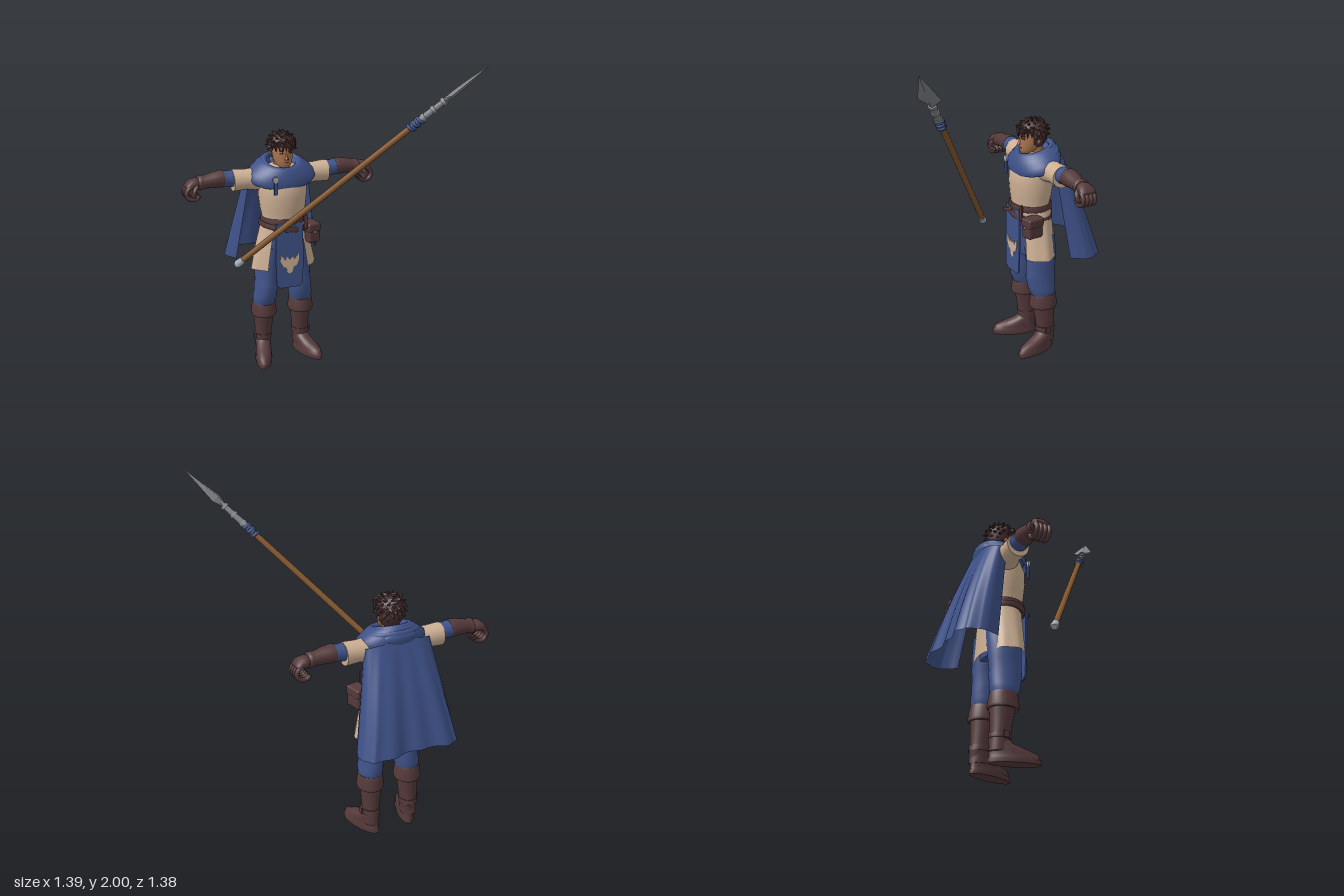
import * as THREE from 'three';
import { mergeGeometries } from 'three/addons/utils/BufferGeometryUtils.js';
import { RoundedBoxGeometry } from 'three/addons/geometries/RoundedBoxGeometry.js';

const V = (x, y, z) => new THREE.Vector3(x, y, z);
const mat = (name, color, side = THREE.FrontSide) => {
  const m = new THREE.MeshStandardMaterial({ color, side });
  m.name = name;
  return m;
};

// Elliptical ring around the y axis; tx and tz tilt it. Angles start at the front.
function ringY(y, cx, cz, rx, rz, tx = 0, tz = 0, n = 28, gap = 0) {
  const out = [];
  const count = gap ? n + 1 : n;
  for (let i = 0; i < count; i++) {
    const a = gap + (i / n) * (Math.PI * 2 - gap * 2);
    const dx = rx * Math.sin(a), dz = rz * Math.cos(a);
    out.push(V(cx + dx, y + tx * dx + tz * dz, cz + dz));
  }
  return out;
}
// Ring around the x axis
function ringX(x, y, z, ry, rz, n = 20) {
  return Array.from({ length: n }, (_, i) => {
    const a = (i / n) * Math.PI * 2;
    return V(x, y + ry * Math.cos(a), z + rz * Math.sin(a));
  });
}
// Skin over a list of rings, with flat end caps when closed
function loft(rings, closed = true, caps = closed) {
  const n = rings[0].length, pos = [], idx = [];
  rings.forEach(r => r.forEach(p => pos.push(p.x, p.y, p.z)));
  const cols = closed ? n : n - 1;
  for (let i = 0; i < rings.length - 1; i++) for (let j = 0; j < cols; j++) {
    const a = i * n + j, b = i * n + (j + 1) % n;
    idx.push(a, b, b + n, a, b + n, a + n);
  }
  if (caps) [rings[0], rings[rings.length - 1]].forEach((r, e) => {
    const s = pos.length / 3, c = V(0, 0, 0);
    r.forEach(p => { c.addScaledVector(p, 1 / n); pos.push(p.x, p.y, p.z); });
    pos.push(c.x, c.y, c.z);
    for (let j = 0; j < n; j++) {
      const a = s + j, b = s + (j + 1) % n;
      e ? idx.push(a, b, s + n) : idx.push(b, a, s + n);
    }
  });
  const g = new THREE.BufferGeometry();
  g.setAttribute('position', new THREE.Float32BufferAttribute(pos, 3));
  g.setIndex(idx);
  g.computeVertexNormals();
  return g;
}
const loftY = rows => loft(rows.map(r => ringY(...r)));
const loftX = rows => loft(rows.map(r => ringX(...r)));
function flat(g) { const f = g.toNonIndexed(); f.computeVertexNormals(); return f; }
function mirror(g) {
  const m = g.clone().applyMatrix4(new THREE.Matrix4().makeScale(-1, 1, 1)), a = m.index.array;
  for (let i = 0; i < a.length; i += 3) [a[i], a[i + 1]] = [a[i + 1], a[i]];
  return m;
}

export function createModel() {
  const blue = mat('blueCloth', 0x40538a), blueOpen = mat('blueCape', 0x3e5188, THREE.DoubleSide);
  const cream = mat('creamCloth', 0xcdb094, THREE.DoubleSide), leather = mat('brownLeather', 0x55393a);
  const hairM = mat('darkHair', 0x462d2e), skin = mat('skin', 0xa9754f), wood = mat('wood', 0x87592f);
  const steel = mat('steel', 0x808388), pale = mat('paleMetal', 0xa3adb8);

  const model = new THREE.Group(), body = new THREE.Group(), spear = new THREE.Group();
  body.name = 'figure'; spear.name = 'spear';
  body.position.x = -0.09;
  model.add(body, spear);
  const add = (name, g, m, parent = body) => {
    const mesh = new THREE.Mesh(g, m);
    mesh.name = name;
    parent.add(mesh);
    return mesh;
  };
  const pair = (name, g, m) => { add(name + 'Left', g, m); add(name + 'Right', mirror(g), m); };

  // Legs and boots
  pair('trouserLeg', loftY([[0.35, .122, -.372, .06, .066], [.39, .12, -.368, .07, .078], [.425, .117, -.362, .073, .088],
    [.45, .113, -.36, .069, .088], [.49, .11, -.356, .074, .094], [.52, .107, -.356, .069, .092],
    [.58, .104, -.36, .072, .094], [.66, .095, -.36, .078, .098], [.76, .08, -.36, .075, .1]]), blue);
  pair('bootShaft', loftY([[.06, .125, -.392, .047, .056], [.12, .125, -.39, .049, .055], [.2, .123, -.384, .054, .058],
    [.31, .122, -.376, .064, .072]]), leather);
  pair('bootCuff', loftY([[.295, .122, -.372, .076, .084], [.31, .122, -.372, .08, .088], [.37, .122, -.372, .072, .08],
    [.385, .122, -.372, .068, .074]]), leather);
  pair('bootStrap', loftY([[.13, .125, -.39, .055, .061], [.16, .125, -.388, .055, .061]]), leather);
  pair('bootBuckle', new THREE.BoxGeometry(.014, .036, .03).translate(.182, .145, -.38), leather);
  const foot = loftY([[0, 0, .085, .05, .14], [.025, 0, .085, .054, .142], [.028, 0, .085, .049, .136],
    [.055, 0, .08, .05, .13], [.08, 0, .05, .047, .098], [.105, 0, .015, .046, .066], [.13, 0, 0, .045, .055]]);
  pair('bootFoot', foot.rotateY(.3).translate(.122, 0, -.395), leather);

  // Hips, tunic and split skirt
  add('hips', loftY([[.62, 0, -.355, .13, .085], [.7, 0, -.35, .15, .098], [.9, 0, -.34, .128, .105]]), blue);
  add('tunic', loftY([[.885, 0, -.338, .135, .112], [.94, 0, -.336, .129, .11], [1.0, 0, -.338, .14, .122],
    [1.08, 0, -.34, .149, .131], [1.15, 0, -.343, .15, .13], [1.21, 0, -.355, .145, .112],
    [1.25, 0, -.36, .11, .085], [1.27, 0, -.36, .06, .06]]), cream);
  const skirtRows = [[.625, .208, .122], [.72, .187, .12], [.82, .16, .118], [.92, .133, .113]];
  const skirt = skirtRows.map(([y, rx, rz]) => ringY(y, 0, -.345, rx, rz, 0, 0, 48, .66));
  skirt.forEach((r, i) => r.forEach((p, j) => {
    const k = 1 + .025 * (1 - i / 3) * Math.sin(j * .8);
    p.x *= k; p.z = -.345 + (p.z + .345) * k;
  }));
  add('tunicSkirt', loft(skirt, false), cream);

  // Front cloth with a pale patch
  const plate = pts => new THREE.ExtrudeGeometry(new THREE.Shape(pts.map(p => new THREE.Vector2(...p))),
    { depth: .008, bevelEnabled: false });
  add('frontCloth', plate([[-.085, .93], [-.09, .7], [-.084, .53], [-.06, .512], [.06, .512], [.084, .53],
    [.09, .7], [.085, .93]]).translate(0, 0, -.226), blue);
  const half = [[0, .695], [.018, .715], [.03, .695], [.058, .73], [.06, .69], [.045, .655], [.022, .645], [.02, .62], [0, .602]];
  const patch = half.concat(half.slice(1, -1).reverse().map(([x, y]) => [-x, y])).reverse();
  add('clothPatch', plate(patch).translate(0, 0, -.2235), cream);

  // Belts, buckle and pouch
  const belt = (y, h, rx, rz, tx) => loftY([[y - h, 0, -.337, rx - .006, rz - .006, tx], [y - h + .004, 0, -.337, rx, rz, tx],
    [y + h - .004, 0, -.337, rx, rz, tx], [y + h, 0, -.337, rx - .006, rz - .006, tx]]);
  add('upperBelt', belt(.935, .019, .139, .128, 0), leather);
  add('lowerBelt', belt(.89, .017, .15, .131, -.16), leather);
  add('beltBuckle', new THREE.TorusGeometry(.02, .005, 6, 4).rotateZ(Math.PI / 4).translate(-.01, .935, -.207), steel);
  add('beltTail', new THREE.BoxGeometry(.1, .02, .008).rotateZ(.3).translate(-.05, .9, -.21), leather);
  add('pouch', new RoundedBoxGeometry(.078, .11, .105, 3, .015).rotateY(.2).translate(.155, .835, -.272), leather);
  add('pouchFlap', new RoundedBoxGeometry(.086, .055, .113, 3, .012).rotateY(.2).translate(.155, .878, -.272), leather);
  add('pouchLoop', new THREE.BoxGeometry(.022, .09, .012).translate(.105, .925, -.222), leather);
  add('pouchStud', new THREE.SphereGeometry(.008, 10, 8).translate(.166, .852, -.213), steel);

  // Arms
  pair('tunicSleeve', loftX([[.08, 1.175, -.375, .07, .085], [.15, 1.182, -.38, .069, .073], [.22, 1.186, -.384, .062, .064],
    [.29, 1.186, -.385, .067, .067], [.302, 1.186, -.385, .066, .066]]), cream);
  pair('underSleeve', loftX([[.28, 1.2, -.385, .048, .05], [.315, 1.2, -.385, .051, .053], [.335, 1.202, -.385, .046, .049],
    [.35, 1.203, -.385, .05, .053], [.38, 1.205, -.385, .046, .05]]), blue);
  pair('bracer', loftX([[.358, 1.206, -.385, .049, .053], [.37, 1.206, -.385, .053, .056], [.42, 1.204, -.385, .048, .051],
    [.48, 1.197, -.385, .04, .042], [.493, 1.195, -.385, .045, .048], [.51, 1.193, -.385, .045, .048],
    [.515, 1.192, -.385, .036, .042]]), leather);
  pair('glovePalm', loftX([[.505, 1.192, -.385, .033, .037], [.53, 1.192, -.387, .036, .045], [.56, 1.19, -.387, .032, .05],
    [.58, 1.182, -.387, .024, .047], [.59, 1.176, -.387, .012, .04]]), leather);
  const tube = (pts, r) => new THREE.TubeGeometry(new THREE.CatmullRomCurve3(pts.map(p => V(...p))), 16, r, 8);
  for (let i = 0; i < 4; i++) {
    const z = -.423 + i * .0245;
    pair('finger' + (i + 1), tube([[.555, 1.187, z], [.582, 1.168, z], [.592, 1.14, z], [.577, 1.113, z],
      [.55, 1.104, z], [.526, 1.113, z], [.516, 1.13, z]], .0135), leather);
  }
  pair('thumb', tube([[.525, 1.185, -.35], [.545, 1.16, -.335], [.55, 1.135, -.34], [.54, 1.12, -.35]], .014), leather);

  // Head and face
  add('neck', loftY([[1.2, 0, -.365, .05, .05], [1.32, 0, -.36, .046, .048]]), skin);
  add('head', loftY([[1.258, 0, -.3, .02, .02], [1.264, 0, -.303, .033, .034], [1.285, 0, -.318, .05, .055],
    [1.315, 0, -.332, .06, .07], [1.35, 0, -.342, .066, .079], [1.39, 0, -.346, .068, .083], [1.43, 0, -.35, .06, .075],
    [1.45, 0, -.35, .03, .04]]), skin);
  add('nose', flat(new THREE.ConeGeometry(.013, .045, 4).rotateX(-.25).translate(0, 1.338, -.258)), skin);
  pair('ear', new THREE.SphereGeometry(.018, 10, 8).scale(.5, 1, .8).translate(.067, 1.345, -.35), skin);
  pair('eyebrow', new THREE.BoxGeometry(.03, .007, .008).rotateZ(.12).rotateY(.35).translate(.028, 1.37, -.267), hairM);
  pair('eye', new THREE.BoxGeometry(.022, .008, .006).rotateY(.35).translate(.028, 1.355, -.269), hairM);
  add('mouth', new THREE.BoxGeometry(.03, .004, .006).translate(0, 1.298, -.264), leather);

  // Hair: a cap, a back panel, spiky locks and a fringe
  add('hairCap', new THREE.SphereGeometry(.08, 24, 12, 0, Math.PI * 2, 0, 1.6).scale(1, .88, 1.1).translate(0, 1.395, -.35), hairM);
  add('hairBack', loft([[1.3, .052, .06], [1.33, .07, .08], [1.36, .077, .086], [1.4, .08, .088]]
    .map(([y, rx, rz]) => ringY(y, 0, -.35, rx, rz, 0, 0, 24, 1.15)), false), hairM);
  const lock = (p, dir, r, len) => {
    const q = new THREE.Quaternion().setFromUnitVectors(V(0, 1, 0), dir.normalize());
    return new THREE.ConeGeometry(r, len, 5).applyQuaternion(q).translate(p.x, p.y, p.z);
  };
  const locks = [];
  for (let i = 0; i < 90; i++) {
    const h = 1 - 1.75 * (i + .5) / 90, a = i * 2.39996, s = Math.sqrt(1 - h * h);
    const d = V(s * Math.sin(a), h, s * Math.cos(a));
    if (d.z > .35 && h < .25 || h < -.35 && d.z > -.1) continue;
    const p = V(d.x * .077, 1.392 + d.y * .072, -.35 + d.z * .086);
    locks.push(lock(p, V(d.x + .5 * Math.cos(i * 1.7), d.y * .8 - .35, d.z + .5 * Math.sin(i * 2.3)), .021, .05));
  }
  for (let i = -4; i <= 4; i++) {
    const a = i * .27;
    locks.push(lock(V(.078 * Math.sin(a), 1.395 - .008 * (i & 1), -.347 + .089 * Math.cos(a)),
      V(.25 * Math.sin(i * 2.1), -1, .1), .018, .06));
  }
  add('hairLocks', flat(mergeGeometries(locks)), hairM);

  // Cowl with rolled folds, hood resting behind
  const cowl = [[1.18, .2, .138], [1.2, .212, .145], [1.235, .198, .142], [1.265, .16, .132], [1.288, .13, .12],
    [1.296, .112, .108], [1.286, .09, .093], [1.25, .07, .075]];
  add('cowl', loft(cowl.map(([y, rx, rz]) => ringY(y, 0, -.357, rx, rz, 0, -.26, 40)), true, false), blueOpen);
  [[.145, .125, 1.25, .02], [.105, .105, 1.278, .021]].forEach(([rx, rz, y, r], i) => {
    const g = new THREE.TorusGeometry(1, r / .12, 10, 36).rotateX(Math.PI / 2).scale(rx, .12, rz);
    add('cowlFold' + (i + 1), g.rotateX(.3).translate(0, y, -.36), blue);
  });
  add('hood', new THREE.SphereGeometry(.1, 24, 16).scale(1.15, .55, .5).rotateX(-.5).translate(0, 1.255, -.455), blue);
  add('clasp', new THREE.CylinderGeometry(.019, .019, .012, 16).rotateX(Math.PI / 2).translate(-.085, 1.213, -.213), pale);
  add('claspTail', new THREE.BoxGeometry(.022, .075, .01).translate(-.085, 1.158, -.213), blue);

  // Cape: a flaring sheet with folds that deepen toward the hem
  const line = pts => new THREE.CatmullRomCurve3([...pts, ...pts.slice(0, -1).reverse().map(([x, y, z]) => [-x, y, z])]
    .map(p => V(...p)));
  const top = line([[-.185, 1.2, -.4], [-.195, 1.22, -.45], [-.13, 1.24, -.485], [0, 1.25, -.49]]);
  const hem = line([[-.262, .645, -.475], [-.304, .64, -.58], [-.25, .645, -.675], [0, .655, -.67]]);
  const sheet = [];
  for (let r = 0; r <= 16; r++) {
    const t = r / 16, row = [];
    for (let c = 0; c <= 72; c++) {
      const u = c / 72, p = top.getPoint(u).lerp(hem.getPoint(u), t);
      p.z += .009 * t * Math.sin(u * 62) * Math.sin(u * Math.PI) - .012 * Math.sin(t * Math.PI) * Math.sin(u * Math.PI);
      row.push(p);
    }
    sheet.push(row);
  }
  add('cape', loft(sheet, false), blueOpen);

  // Spear, built upright from its butt and then laid along its slant
  const rod = (name, r0, r1, y0, y1, m) =>
    add(name, new THREE.CylinderGeometry(r1, r0, y1 - y0, 14).translate(0, (y0 + y1) / 2, 0), m, spear);
  rod('shaft', .018, .017, .03, 1.42, wood);
  rod('buttCap', .017, .024, 0, .012, pale);
  rod('buttSleeve', .024, .021, .012, .065, pale);
  rod('socket', .021, .015, 1.4, 1.64, steel);
  [1.46, 1.53, 1.6].forEach((y, i) => rod('socketRing' + (i + 1), .025, .022, y, y + .02, steel));
  for (let i = 0; i < 5; i++)
    add('binding' + (i + 1), new THREE.TorusGeometry(.02, .009, 8, 16).rotateX(Math.PI / 2 + (i % 2 ? .25 : -.25))
      .translate(0, 1.375 + i * .017, 0), blue, spear);
  add('blade', flat(loft([[1.615, .016, .014], [1.675, .062, .016], [1.78, .036, .012], [1.921, .0005, .0005]]
    .map(([y, w, d]) => ringY(y, 0, 0, w, d, 0, 0, 4)))), steel, spear);
  const butt = V(-.44, .72, -.19), axis = V(.695, 2, .688).sub(butt).normalize();
  const side = V(axis.z, 0, -axis.x).normalize();
  spear.quaternion.setFromRotationMatrix(new THREE.Matrix4().makeBasis(side, axis, side.clone().cross(axis)));
  spear.position.copy(butt);
  return model;
}
